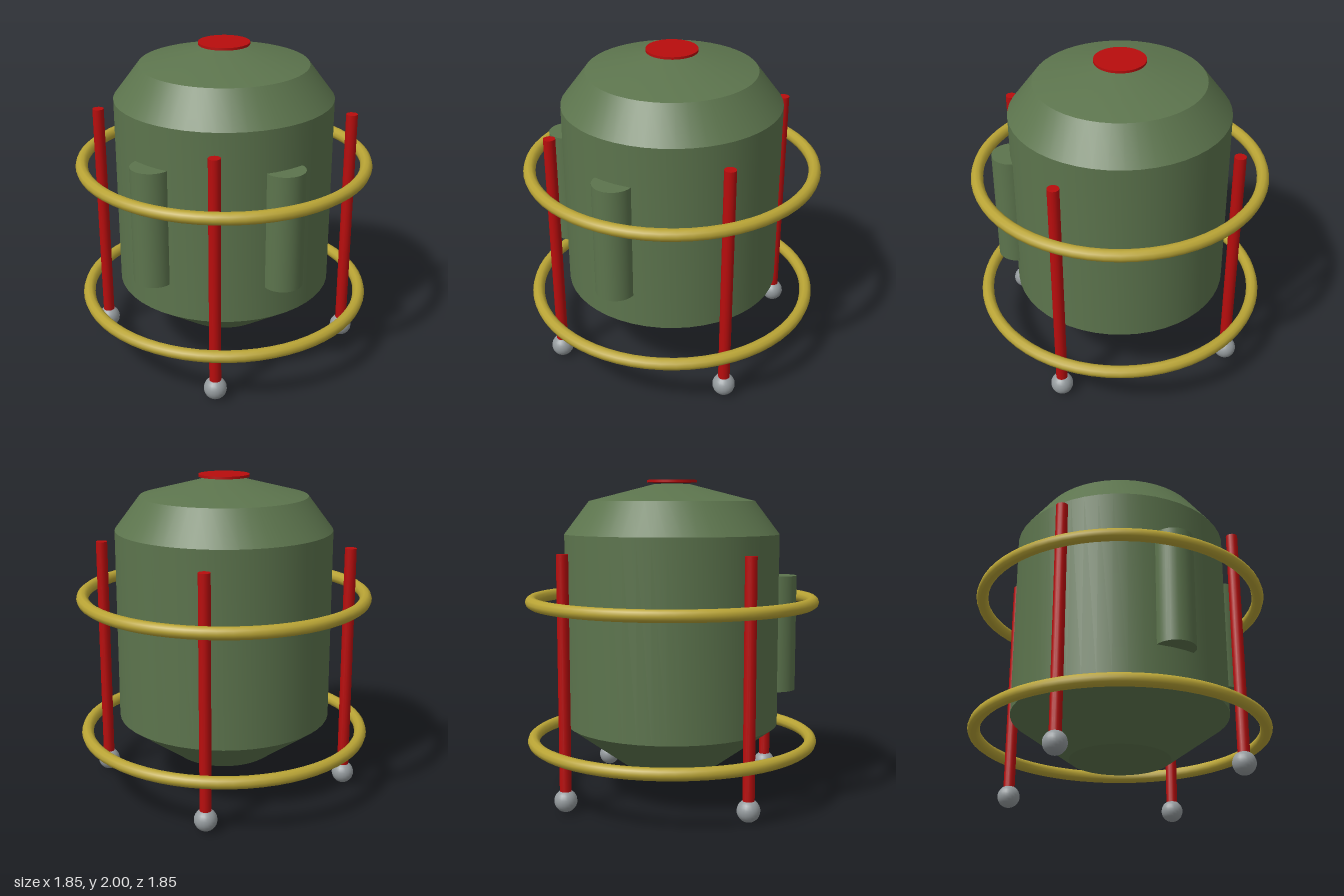
import * as THREE from 'three';
import { toCreasedNormals } from 'three/addons/utils/BufferGeometryUtils.js';

const material = (name, color) => Object.assign(new THREE.MeshStandardMaterial({ color }), { name });

export function createModel() {
  const model = new THREE.Group();
  model.name = 'capsule';
  const green = material('olive green', 0x5c744d);
  const red = material('red', 0xb80d0d);
  const gold = material('gold', 0xb9a435);
  const grey = material('grey', 0x949a9d);

  const add = (name, geometry, mat, x = 0, y = 0, z = 0) => {
    const mesh = new THREE.Mesh(geometry, mat);
    mesh.name = name;
    mesh.position.set(x, y, z);
    model.add(mesh);
    return mesh;
  };

  // Tank body: tapered base, straight wall, two-step dome
  const profile = [[0, 0.2], [0.31, 0.2], [0.675, 0.465], [0.675, 1.665], [0.52, 1.87], [0.11, 1.975], [0, 1.975]]
    .map(([r, y]) => new THREE.Vector2(r, y));
  add('body', toCreasedNormals(new THREE.LatheGeometry(profile, 48), 0.5), green);

  // Hatch disc on top
  add('topHatch', new THREE.CylinderGeometry(0.157, 0.157, 0.015, 32), red, 0, 1.9925, 0);

  // Two half-sunk cylinders on the front
  for (const side of [-1, 1]) {
    add(side > 0 ? 'leftPod' : 'rightPod',
      new THREE.CylinderGeometry(0.123, 0.123, 0.73, 32), green, side * 0.385, 1.04, 0.542);
  }

  // Hoops around the frame
  for (const [name, y] of [['lowerHoop', 0.36], ['upperHoop', 1.247]]) {
    add(name, new THREE.TorusGeometry(0.887, 0.038, 10, 64), gold, 0, y, 0).rotation.x = Math.PI / 2;
  }

  // Four posts with ball feet
  const postGeometry = new THREE.CylinderGeometry(0.036, 0.036, 1.46, 16);
  const footGeometry = new THREE.SphereGeometry(0.07, 20, 14);
  ['front', 'left', 'back', 'right'].forEach((name, i) => {
    const angle = i * Math.PI / 2;
    const x = 0.784 * Math.sin(angle), z = 0.784 * Math.cos(angle);
    add(name + 'Post', postGeometry, red, x, 0.83, z);
    add(name + 'Foot', footGeometry, grey, x, 0.072, z);
  });

  return model;
}
